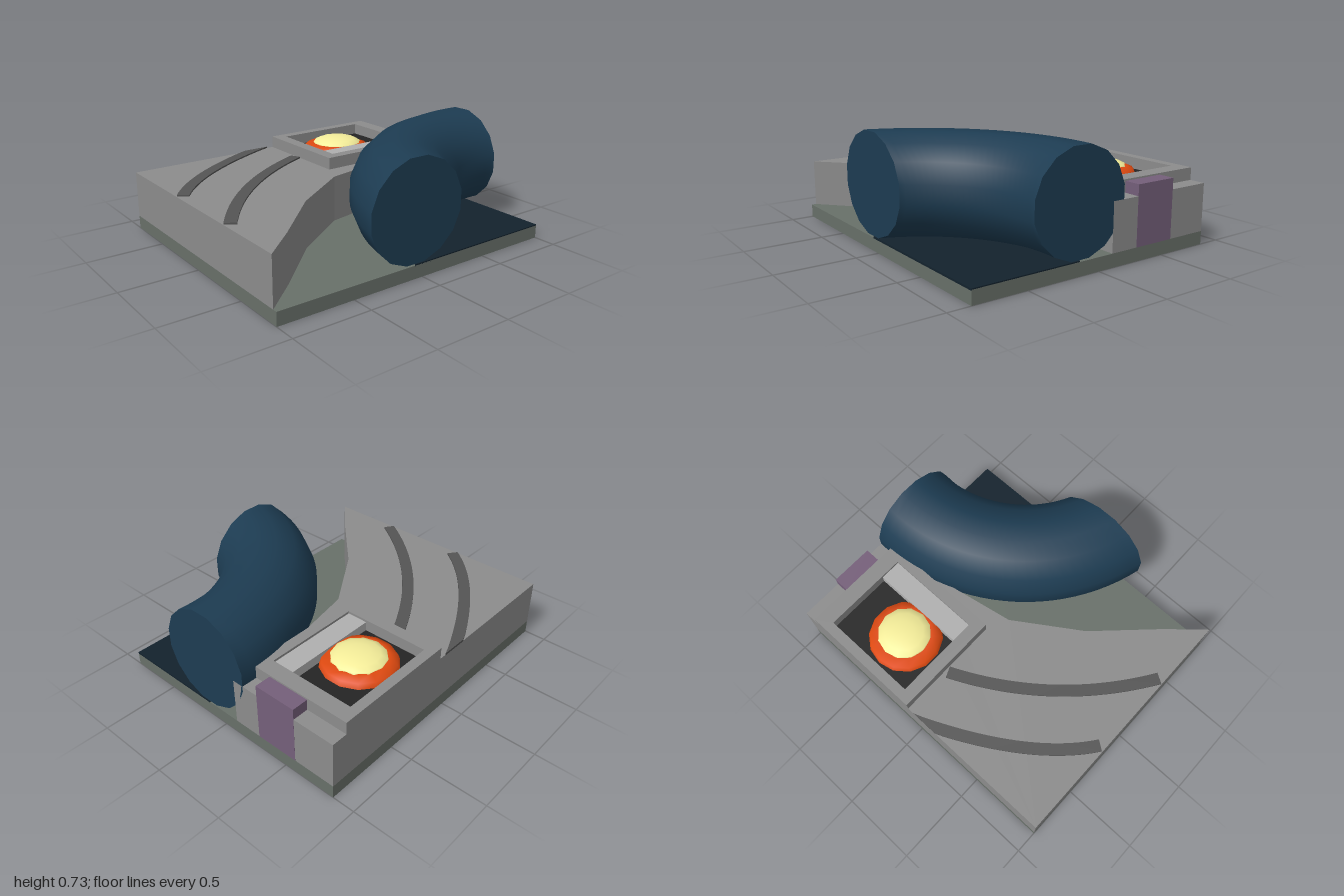
import * as THREE from 'three';

const W = 0.855; // half width of the block

const mat = (color, extra = {}) => new THREE.MeshStandardMaterial({ color, ...extra });
const MATS = {
  base: mat(0x687069), slab: mat(0x8c8c8c), strip: mat(0x555555), dark: mat(0x242424),
  bar: mat(0xb0b0b0), ring: mat(0xe04a10), dome: mat(0xf5ee9a), purple: mat(0x755f7a),
  tube: mat(0x1d3c52, { side: THREE.DoubleSide }), plate: mat(0x13222d),
};

function add(group, name, geometry, material) {
  const mesh = new THREE.Mesh(geometry, material);
  mesh.name = name;
  group.add(mesh);
  return mesh;
}

// Box from its limits
function box(x0, x1, y0, y1, z0, z1) {
  return new THREE.BoxGeometry(x1 - x0, y1 - y0, z1 - z0)
    .translate((x0 + x1) / 2, (y0 + y1) / 2, (z0 + z1) / 2);
}

// Upright prism from a plan outline of [x, z] points, with an optional hole
function prism(outline, y0, y1, hole) {
  const toVec = (p) => new THREE.Vector2(p[0], p[1]);
  const shape = new THREE.Shape(outline.map(toVec));
  if (hole) shape.holes.push(new THREE.Path(hole.map(toVec)));
  return new THREE.ExtrudeGeometry(shape, { depth: y1 - y0, bevelEnabled: false })
    .rotateX(Math.PI / 2).translate(0, y1, 0);
}

const rect = (x0, x1, z0, z1) => [[x0, z0], [x1, z0], [x1, z1], [x0, z1]];

// Curved band of constant width, trimmed at the left wall
function band(a, b, c, t0, width) {
  const curve = new THREE.QuadraticBezierCurve(
    new THREE.Vector2(...a), new THREE.Vector2(...b), new THREE.Vector2(...c));
  const left = [], right = [], n = 28;
  for (let i = 0; i <= n; i++) {
    const t = t0 + (1 - t0) * i / n;
    const p = curve.getPoint(t);
    // tangent of the quadratic curve
    const d = new THREE.Vector2(
      (1 - t) * (b[0] - a[0]) + t * (c[0] - b[0]),
      (1 - t) * (b[1] - a[1]) + t * (c[1] - b[1])).normalize().multiplyScalar(width / 2);
    const l = [p.x + d.y, p.y - d.x], r = [p.x - d.y, p.y + d.x];
    if (l[0] >= -W) left.push(l);
    if (r[0] >= -W) right.push(r);
    else right[0] = [-W, r[1]];
    if (l[0] < -W) left[0] = [-W, l[1]];
  }
  return prism([...left, ...right.reverse()], 0.385, 0.4);
}

// Bent pipe: centre of the bend, bend radius, pipe radius
const BEND = { x: 1.18, z: -0.93, R: 1.04, r: 0.325, y: 0.415 };

// Point on the bend at radius rho, t = 0 on the back plane, t = 1 on the side plane
function bendPoint(rho, t) {
  const a0 = Math.asin((-1 - BEND.z) / rho);
  const a1 = Math.acos((BEND.x - W) / rho);
  const a = a0 + (a1 - a0) * t;
  return [BEND.x - rho * Math.cos(a), BEND.z + rho * Math.sin(a)];
}

function pipeGeometry(sides, steps) {
  const pos = [], index = [];
  for (let i = 0; i <= steps; i++) {
    for (let j = 0; j < sides; j++) {
      const q = (j + 0.5) / sides * Math.PI * 2;
      const [x, z] = bendPoint(BEND.R + BEND.r * Math.cos(q), i / steps);
      pos.push(x, BEND.y + BEND.r * Math.sin(q), z);
    }
  }
  for (let i = 0; i < steps; i++) {
    for (let j = 0; j < sides; j++) {
      const k = (j + 1) % sides;
      const a = i * sides + j, b = i * sides + k, c = a + sides, d = b + sides;
      index.push(a, c, b, b, c, d);
    }
  }
  const g = new THREE.BufferGeometry();
  g.setAttribute('position', new THREE.Float32BufferAttribute(pos, 3));
  g.setIndex(index);
  g.computeVertexNormals();
  return g;
}

// Flat end of the pipe
function pipeCap(sides, t) {
  const pos = [], index = [];
  for (let j = 0; j < sides; j++) {
    const q = (j + 0.5) / sides * Math.PI * 2;
    const [x, z] = bendPoint(BEND.R + BEND.r * Math.cos(q), t);
    pos.push(x, BEND.y + BEND.r * Math.sin(q), z);
    if (j > 1) index.push(...(t === 0 ? [0, j - 1, j] : [0, j, j - 1]));
  }
  const g = new THREE.BufferGeometry();
  g.setAttribute('position', new THREE.Float32BufferAttribute(pos, 3));
  g.setIndex(index);
  g.computeVertexNormals();
  return g;
}

export function createModel() {
  const model = new THREE.Group();
  model.name = 'diorama';

  // Ground block and raised bank
  add(model, 'base', box(-W, W, 0, 0.085, -1, 1), MATS.base);
  add(model, 'bank', prism([
    [-W, -1], [-0.1, -1], [-0.1, -0.53], [0, 0], [0.28, 0.42], [0.63, 0.78], [0.825, 1], [-W, 1],
  ], 0.085, 0.39), MATS.slab);

  // Curved strips on the bank
  add(model, 'innerStrip', band([-0.52, -0.045], [-0.235, 0.59], [0.35, 0.965], 0, 0.075), MATS.strip);
  add(model, 'outerStrip', band([-W, 0.085], [-0.577, 0.713], [-0.225, 0.965], -0.15, 0.075), MATS.strip);

  // Open frame with dark floor and side bar
  const frame = new THREE.Group();
  frame.name = 'frame';
  model.add(frame);
  add(frame, 'rim', prism(rect(-W, -0.145, -0.895, -0.065), 0.39, 0.47,
    rect(-0.79, -0.215, -0.79, -0.145)), MATS.slab);
  add(frame, 'floor', box(-0.79, -0.215, 0.385, 0.395, -0.79, -0.145), MATS.dark);
  add(frame, 'bar', box(-0.355, -0.215, 0.39, 0.455, -0.79, -0.145), MATS.bar);

  // Ring and dome inside the frame
  const ring = add(frame, 'ring', new THREE.TorusGeometry(0.17, 0.08, 8, 14).rotateX(Math.PI / 2), MATS.ring);
  ring.position.set(-0.53, 0.37, -0.41);
  const dome = add(frame, 'dome', new THREE.SphereGeometry(0.18, 12, 8).scale(1, 0.31, 1), MATS.dome);
  dome.position.set(-0.53, 0.434, -0.415);

  // Block behind the frame
  add(model, 'rearBlock', box(-0.575, -0.29, 0.085, 0.46, -1.001, -0.895), MATS.purple);

  // Bent pipe with flat ends
  const pipe = new THREE.Group();
  pipe.name = 'pipe';
  model.add(pipe);
  add(pipe, 'pipeBody', pipeGeometry(16, 24), MATS.tube);
  add(pipe, 'rearEnd', pipeCap(16, 0), MATS.tube);
  add(pipe, 'sideEnd', pipeCap(16, 1), MATS.tube);

  // Dark ground enclosed by the bend
  const arc = [];
  for (let i = 0; i <= 16; i++) arc.push(bendPoint(BEND.R, i / 16));
  add(model, 'innerGround', prism([...arc, [W, -1]], 0.08, 0.092), MATS.plate);

  return model;
}
